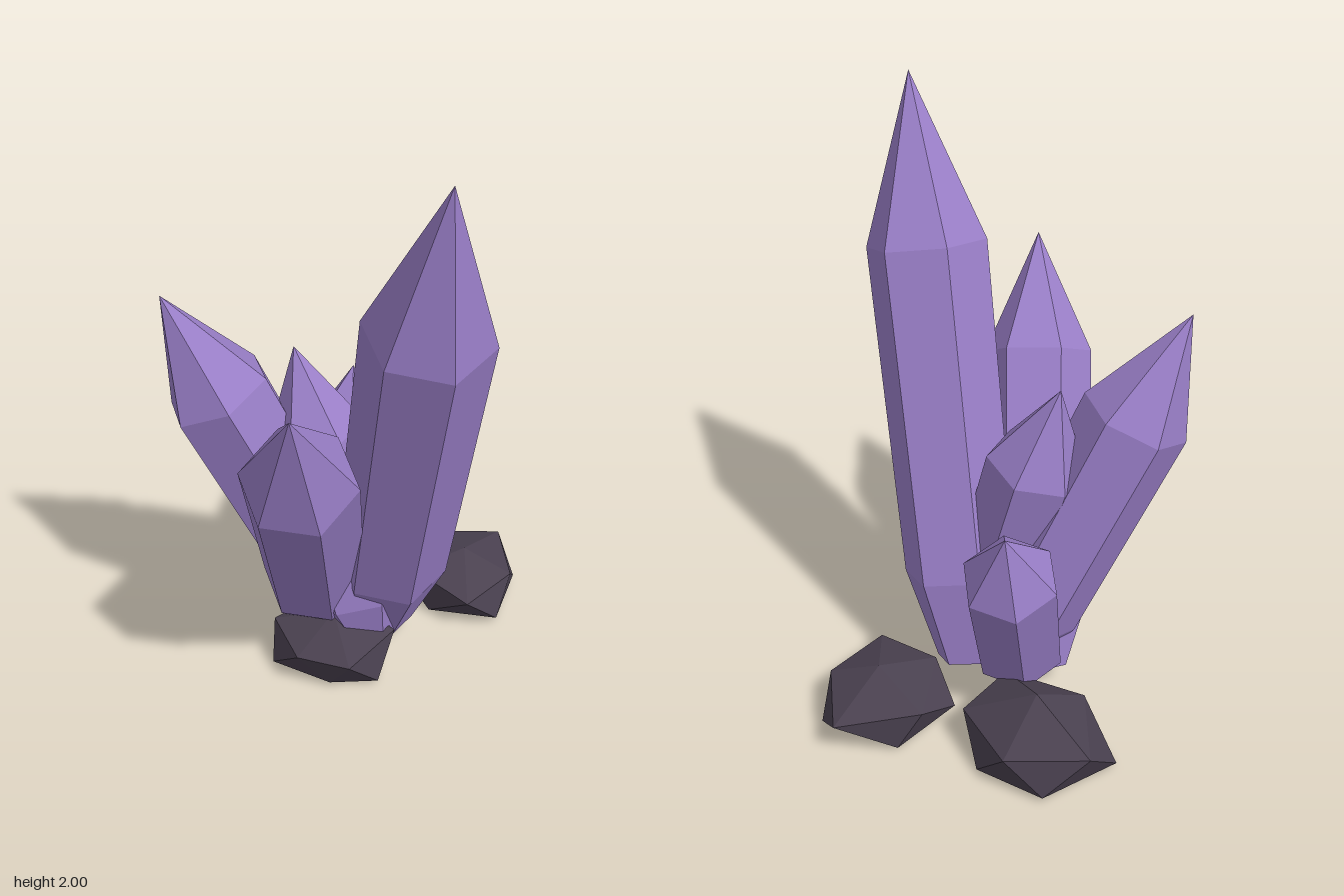
import * as THREE from 'three';
import { ConvexGeometry } from 'three/addons/geometries/ConvexGeometry.js';

const crystalPurple = new THREE.MeshStandardMaterial({ color: 0x9a7fc8 });
const darkRock = new THREE.MeshStandardMaterial({ color: 0x4a4150 });

// Six-sided crystal: narrow foot, long shaft, pointed tip, leaning from base to tip
function crystal(name, base, tip, radius, turn) {
  const from = new THREE.Vector3(...base);
  const axis = new THREE.Vector3(...tip).sub(from);
  const length = axis.length();
  axis.normalize();
  const profile = [[0, 0], [0.55, 0], [0.96, 0.16], [1, 0.725], [0, 1]]
    .map(([r, h]) => new THREE.Vector2(r * radius, h * length));
  const start = THREE.MathUtils.degToRad(90 - turn);
  const geometry = new THREE.LatheGeometry(profile, 6, start).toNonIndexed();
  geometry.computeVertexNormals();

  // Lean the upright crystal along its axis
  const side = new THREE.Vector3(1, 0, 0).addScaledVector(axis, -axis.x).normalize();
  const depth = new THREE.Vector3().crossVectors(side, axis);
  geometry.applyMatrix4(new THREE.Matrix4().makeBasis(side, axis, depth).setPosition(from));
  const mesh = new THREE.Mesh(geometry, crystalPurple);
  mesh.name = name;
  return mesh;
}

// Faceted stone wrapped around a few corner points
function rock(name, corners) {
  const geometry = new ConvexGeometry(corners.map((p) => new THREE.Vector3(...p)));
  const mesh = new THREE.Mesh(geometry, darkRock);
  mesh.name = name;
  return mesh;
}

export function createModel() {
  const model = new THREE.Group();
  model.name = 'crystalCluster';

  model.add(
    crystal('tallCrystal', [0.125, 0.08, -0.12], [0.44, 2, 0.4], 0.203, -6),
    crystal('frontCrystal', [-0.12, 0.08, -0.12], [0.07, 1.365, 0.665], 0.187, -6),
    crystal('rightCrystal', [0.01, 0.08, -0.11], [-0.55, 1.385, 0.13], 0.183, -6),
    crystal('middleCrystal', [0.12, 0.08, 0.01], [-0.175, 1.165, -0.06], 0.168, -18),
    crystal('backCrystal', [-0.07, 0.08, -0.14], [-0.1, 0.87, -0.48], 0.16, 10),
  );

  // Each stone: peak, upper ring, lower ring
  model.add(
    rock('frontRock', [
      [0.01, 0.21, 0.09],
      [-0.2, 0.15, 0.12], [-0.06, 0.14, 0.28], [0.13, 0.15, 0.29], [0.22, 0.15, 0.05], [-0.05, 0.15, -0.12],
      [-0.19, 0.03, 0], [-0.18, 0.02, 0.2], [0.04, 0.01, 0.23], [0.2, 0.02, 0.18], [0.14, 0.01, -0.08],
    ]),
    rock('backLeftRock', [
      [0.36, 0.21, -0.4],
      [0.17, 0.15, -0.53], [0.44, 0.13, -0.64], [0.54, 0.14, -0.39], [0.43, 0.14, -0.17], [0.2, 0.17, -0.27],
      [0.1, 0.08, -0.39], [0.25, 0.01, -0.56], [0.53, 0.03, -0.52], [0.52, 0.02, -0.27], [0.27, 0.01, -0.25],
    ]),
    rock('backRightRock', [
      [-0.2, 0.26, -0.46],
      [-0.41, 0.16, -0.61], [-0.14, 0.15, -0.67], [0.05, 0.14, -0.46], [-0.05, 0.17, -0.28], [-0.33, 0.16, -0.32],
      [-0.47, 0.02, -0.46], [-0.27, 0.02, -0.67], [-0.03, 0.01, -0.59], [0, 0.02, -0.33], [-0.28, 0, -0.23],
    ]),
  );
  return model;
}
